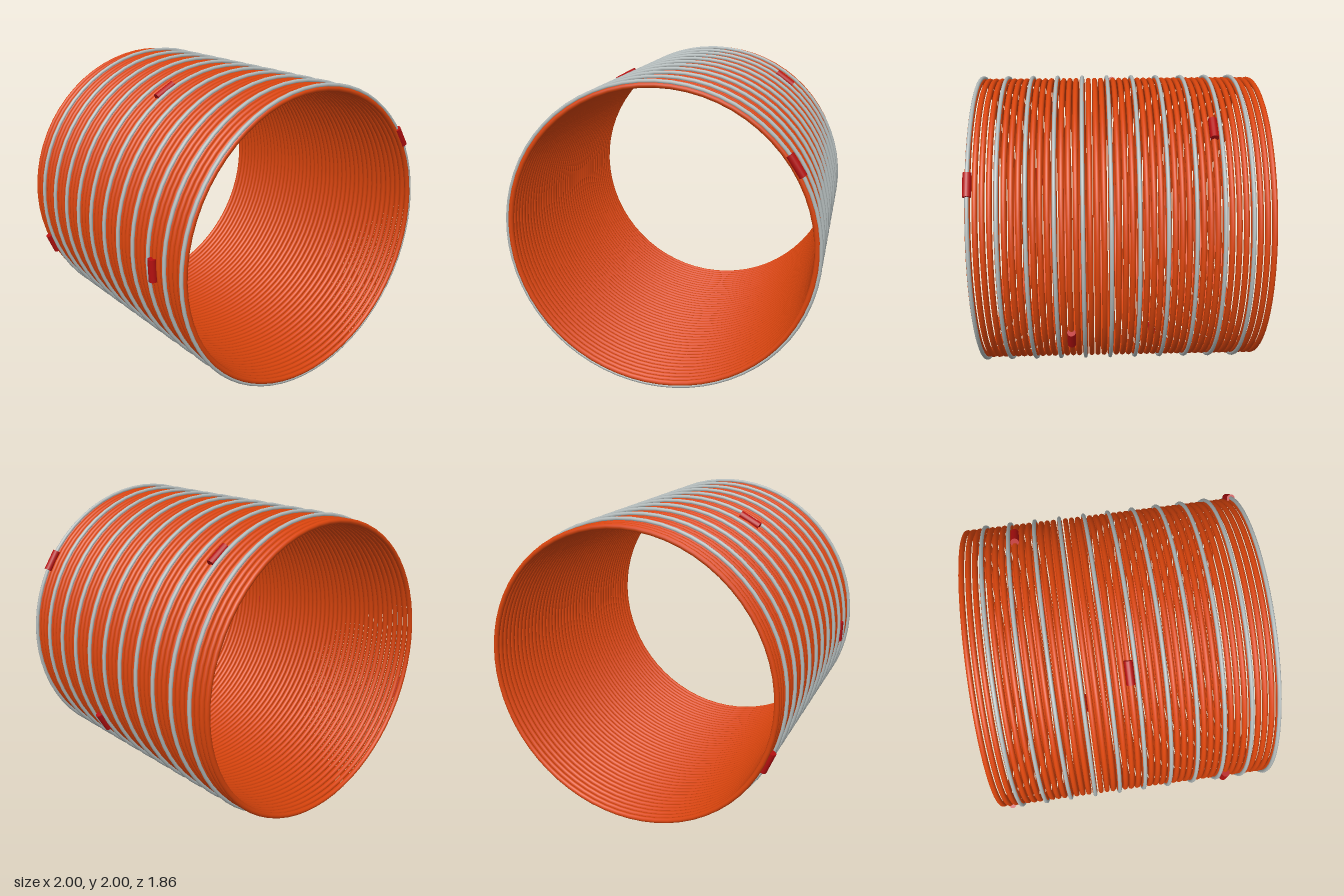
import * as THREE from 'three';

const PITCH = 0.0422, FRONT_Z = 0.9, CENTRE_Y = 1.005;

export function createModel() {
  const model = new THREE.Group();
  model.name = 'coilCylinder';

  const mat = (name, color) => {
    const m = new THREE.MeshStandardMaterial({ color });
    m.name = name;
    return m;
  };
  const orange = mat('orange', 0xd9440c);
  const silver = mat('silver', 0xb2baba);
  const red = mat('red', 0xb51010);

  const group = (name) => {
    const g = new THREE.Group();
    g.name = name;
    g.position.y = CENTRE_Y;
    model.add(g);
    return g;
  };
  const addMesh = (parent, name, geometry, material, z) => {
    const mesh = new THREE.Mesh(geometry, material);
    mesh.name = name;
    mesh.position.z = z;
    parent.add(mesh);
    return mesh;
  };

  // Stack of separate coil rings with narrow gaps between them
  const coils = group('coilRings');
  const coilGeo = new THREE.TorusGeometry(0.96, 0.0175, 10, 64);
  for (let i = 0; i < 44; i++) {
    addMesh(coils, 'coilRing', coilGeo, orange, FRONT_Z - i * PITCH);
  }

  // Thinner outer hoop on every fourth coil
  const hoops = group('outerHoops');
  const hoopGeo = new THREE.TorusGeometry(0.982, 0.0128, 8, 64);
  for (let i = 0; i < 11; i++) {
    addMesh(hoops, 'outerHoop', hoopGeo, silver, FRONT_Z - i * 4 * PITCH);
  }

  // Tangential clips spiralling backwards, one on every seventh coil
  const clips = group('clips');
  const clipGeo = new THREE.CylinderGeometry(0.027, 0.027, 0.146, 16);
  for (let i = 0; i < 7; i++) {
    const angle = THREE.MathUtils.degToRad(33.3 + i * 148.2);
    const clip = addMesh(clips, 'clip', clipGeo, red, FRONT_Z - i * 7 * PITCH);
    clip.position.x = 0.978 * Math.cos(angle);
    clip.position.y = 0.978 * Math.sin(angle);
    clip.rotation.z = angle;
  }

  return model;
}
